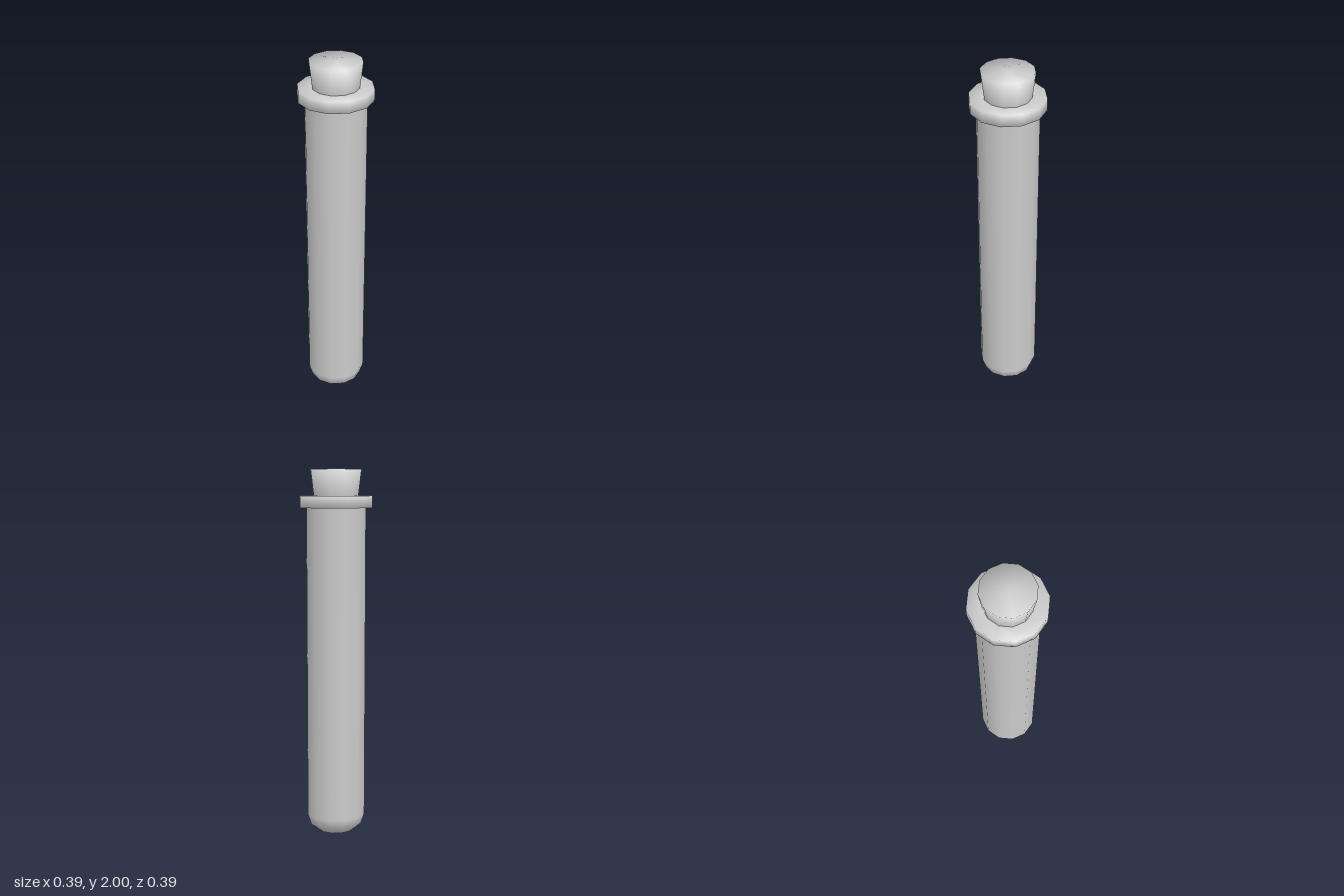
import * as THREE from 'three';

const SIDES = 12;

// Smooth-shaded turned part from [radius, height] points, bottom to top
function turned(name, profile, material) {
  const points = profile.map(([r, y]) => new THREE.Vector2(r, y));
  const mesh = new THREE.Mesh(new THREE.LatheGeometry(points, SIDES), material);
  mesh.name = name;
  return mesh;
}

export function createModel() {
  const group = new THREE.Group();
  group.name = 'stopperedTestTube';
  const grey = new THREE.MeshStandardMaterial({ color: 0xcccccc });

  // Round-bottomed tube with a protruding rim
  group.add(turned('tube', [
    [0, 0], [0.1, 0.025], [0.143, 0.06], [0.162, 0.118],
    [0.162, 1.8], [0.197, 1.8], [0.197, 1.863], [0.122, 1.863],
  ], grey));

  // Tapered stopper, wider at the top
  group.add(turned('stopper', [[0.122, 1.863], [0.138, 2], [0, 2]], grey));

  return group;
}
